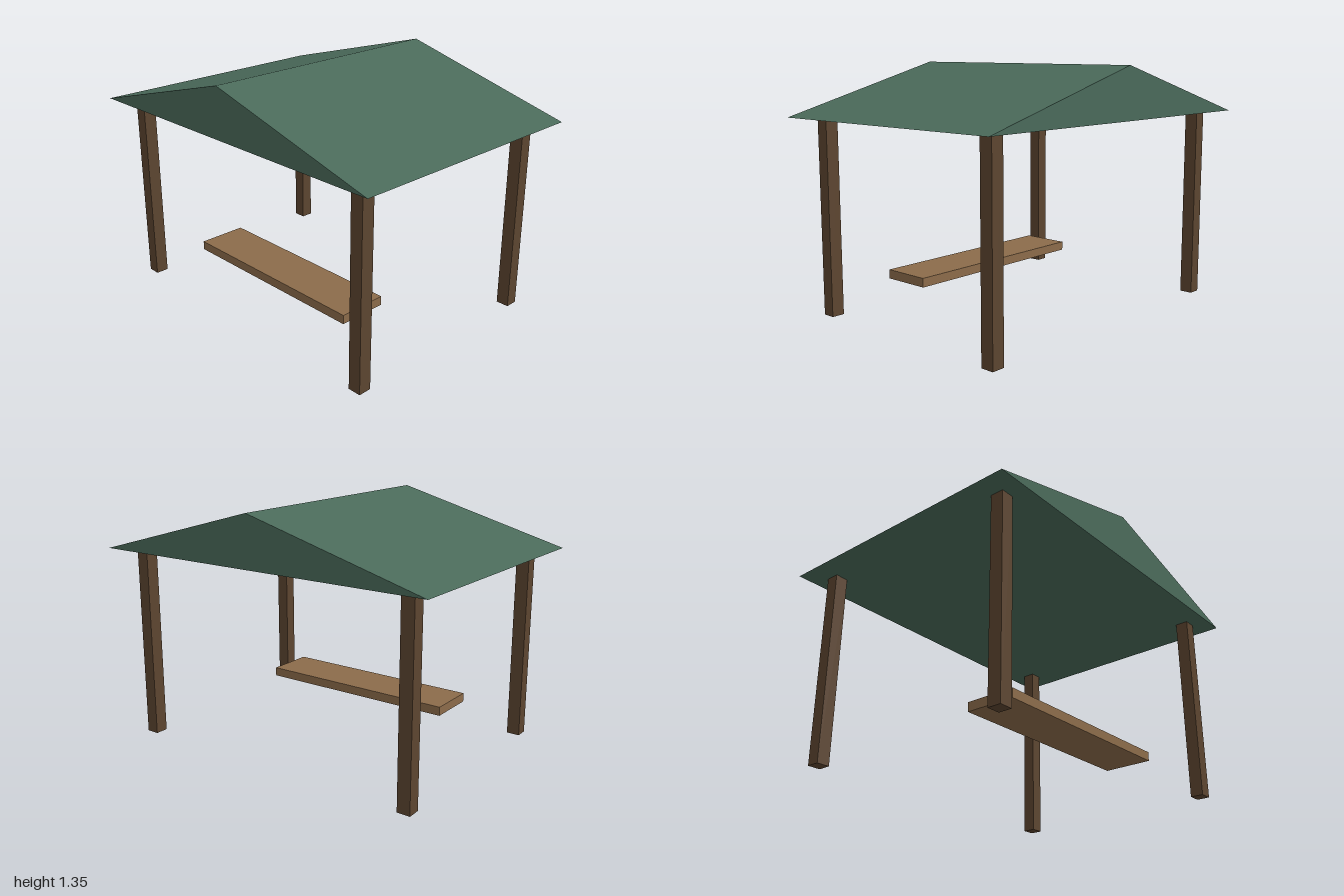
import * as THREE from 'three';

export function createModel() {
  const group = new THREE.Group();
  group.name = 'shelter';

  const material = (name, color) => {
    const m = new THREE.MeshStandardMaterial({ color });
    m.name = name;
    return m;
  };
  const roofGreen = material('roof green', 0x4a6a5a);
  const darkWood = material('dark wood', 0x5c4530);
  const lightWood = material('light wood', 0x8b6b4a);

  const add = (name, geometry, mat, x, y, z) => {
    const mesh = new THREE.Mesh(geometry, mat);
    mesh.name = name;
    mesh.position.set(x, y, z);
    group.add(mesh);
  };

  const eaveY = 1.07, ridgeY = 1.345, roofDepth = 1.454;

  // Solid gable roof with its ridge running front to back
  const gable = new THREE.Shape([
    new THREE.Vector2(-1, 0),
    new THREE.Vector2(1, 0),
    new THREE.Vector2(0, ridgeY - eaveY),
  ]);
  const roof = new THREE.ExtrudeGeometry(gable, { depth: roofDepth, bevelEnabled: false });
  add('roof', roof, roofGreen, 0, eaveY, -roofDepth / 2);

  // Four square corner posts
  const post = new THREE.BoxGeometry(0.072, eaveY, 0.072);
  for (const [side, x] of [['left', 0.845], ['right', -0.845]]) {
    for (const [end, z] of [['Front', 0.594], ['Back', -0.594]]) {
      add(`${side}${end}Post`, post, darkWood, x, eaveY / 2, z);
    }
  }

  // Bench plank near the front
  add('bench', new THREE.BoxGeometry(1.164, 0.05, 0.276), lightWood, 0, 0.2, 0.303);

  return group;
}
